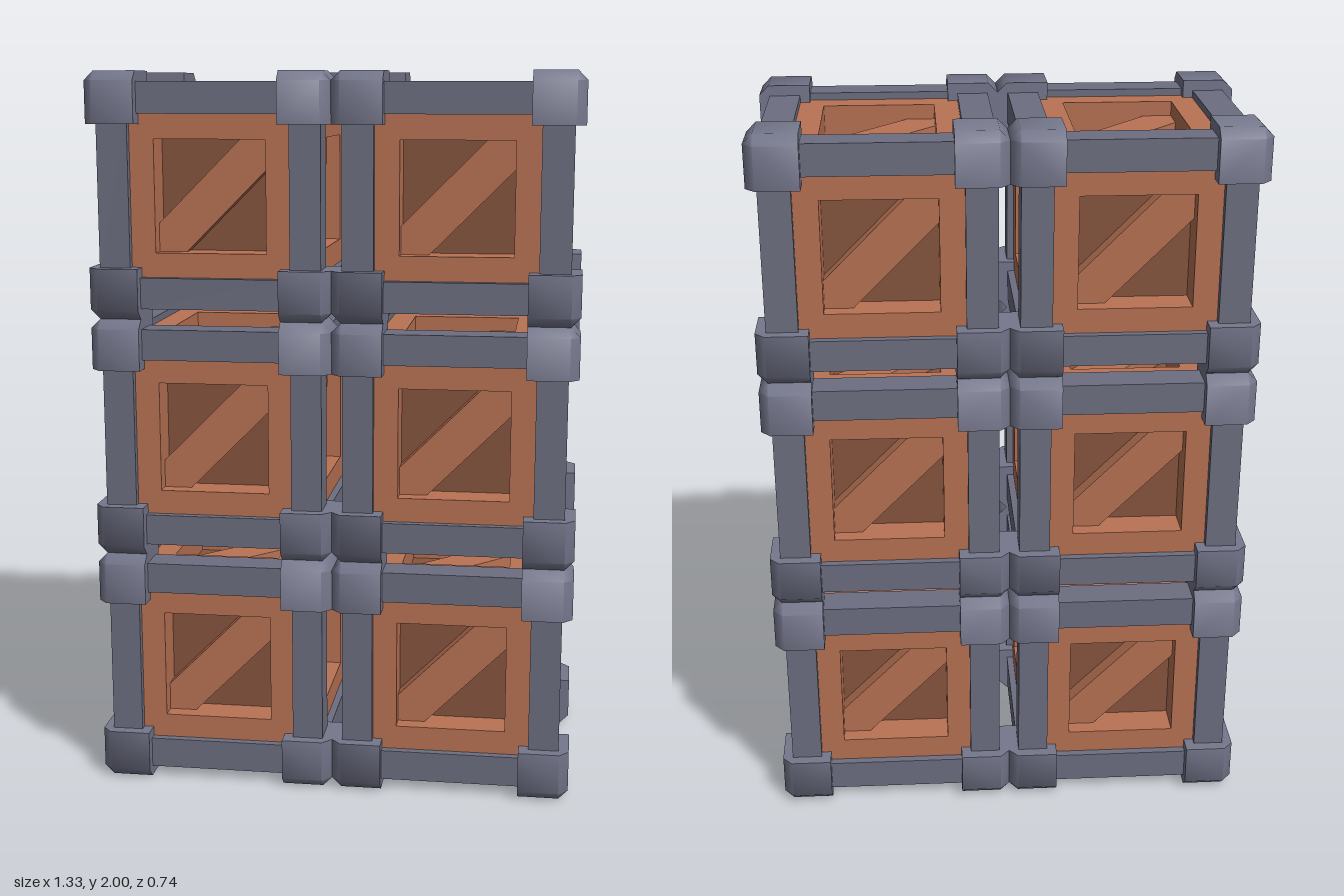
import * as THREE from 'three';
import { toCreasedNormals } from 'three/addons/utils/BufferGeometryUtils.js';
import { ConvexGeometry } from 'three/addons/geometries/ConvexGeometry.js';

const HALF = 1 / 3;        // half size of one crate, over the corner caps
const CAP_IN = 0.193;      // inner edge of the corner caps
const BAR_OUT = 0.305;     // outer face of the edge bars
const BAR_IN = 0.22;       // inner face of the edge bars
const FRAME = 0.285;       // outer face of the wooden frames
const OPEN = 0.153;        // half width of the frame opening
const PANEL = 0.2;         // face of the recessed panels
const PLANK = 0.245;       // face of the diagonal planks
const DEPTH = 1.117;       // crates are a little deeper than wide

const material = (name, color) => {
  const m = new THREE.MeshStandardMaterial({ color });
  m.name = name;
  return m;
};

function add(parent, name, geometry, mat) {
  const mesh = new THREE.Mesh(geometry, mat);
  mesh.name = name;
  parent.add(mesh);
  return mesh;
}

const square = (h, Type) => new Type([
  new THREE.Vector2(-h, -h), new THREE.Vector2(h, -h),
  new THREE.Vector2(h, h), new THREE.Vector2(-h, h),
]);

const extrude = (shape, from, to) =>
  new THREE.ExtrudeGeometry(shape, { depth: to - from, bevelEnabled: false }).translate(0, 0, from);

// Block whose three outer edges and outer corner are chamfered
function capGeometry(sx, sy, sz) {
  const k = HALF - 0.026;
  const points = [new THREE.Vector3(CAP_IN * sx, CAP_IN * sy, CAP_IN * sz)];
  for (const a of [CAP_IN, k]) for (const b of [CAP_IN, k]) {
    for (const [x, y, z] of [[HALF, a, b], [a, HALF, b], [a, b, HALF]]) {
      points.push(new THREE.Vector3(x * sx, y * sy, z * sz));
    }
  }
  return toCreasedNormals(new ConvexGeometry(points), 1.0);
}

export function createModel() {
  const steel = material('steel bars', 0x6d6f81);
  const capSteel = material('steel caps', 0x75778c);
  const wood = material('wood', 0xb97254);
  const darkWood = material('dark wood', 0x87553e);

  // Shared wooden parts for one face
  const frameShape = square(BAR_IN, THREE.Shape);
  frameShape.holes.push(square(OPEN, THREE.Path));
  const frameGeometry = extrude(frameShape, PANEL - 0.01, FRAME);
  const s = OPEN, t = OPEN - 0.077;
  const plankShape = new THREE.Shape(
    [[-s, -s], [-t, -s], [s, t], [s, s], [t, s], [-s, -t]].map(p => new THREE.Vector2(...p)));
  const plankGeometry = extrude(plankShape, PANEL - 0.01, PLANK);

  const thick = BAR_OUT - BAR_IN, mid = (BAR_OUT + BAR_IN) / 2;
  const barGeometry = new THREE.BoxGeometry(thick, thick, CAP_IN * 2 + 0.04);
  const panelGeometry = new THREE.BoxGeometry(PANEL * 2, PANEL * 2, PANEL * 2);
  const signs = [-1, 1];
  const caps = [];
  for (const x of signs) for (const y of signs) for (const z of signs) caps.push(capGeometry(x, y, z));

  // Rotation of each face: tilt about x, turn about y, roll about z
  const q = Math.PI / 2;
  const faces = [
    ['front', 0, 0, 0], ['left', 0, q, 0], ['back', 0, 2 * q, 0],
    ['right', 0, -q, 0], ['top', -q, 0, 0], ['bottom', q, 0, q],
  ];

  function makeCrate() {
    const crate = new THREE.Group();
    add(crate, 'recessedPanels', panelGeometry, darkWood);

    for (const [name, rx, ry, rz] of faces) {
      const face = new THREE.Group();
      face.name = name + 'Face';
      face.rotation.set(rx, ry, rz);
      add(face, 'woodenFrame', frameGeometry, wood);
      add(face, 'diagonalPlank', plankGeometry, wood);
      crate.add(face);
    }

    // Four bars along each axis
    for (const a of signs) for (const b of signs) {
      add(crate, 'depthBar', barGeometry, steel).position.set(a * mid, b * mid, 0);
      const across = add(crate, 'acrossBar', barGeometry, steel);
      across.rotation.y = q;
      across.position.set(0, a * mid, b * mid);
      const upright = add(crate, 'uprightBar', barGeometry, steel);
      upright.rotation.x = q;
      upright.position.set(a * mid, 0, b * mid);
    }

    for (const cap of caps) add(crate, 'cornerCap', cap, capSteel);
    crate.scale.z = DEPTH;
    return crate;
  }

  // Stack two wide and three high
  const model = new THREE.Group();
  model.name = 'crateStack';
  for (let row = 0; row < 3; row++) {
    for (const side of signs) {
      const crate = makeCrate();
      crate.name = `crateRow${row + 1}${side > 0 ? 'Left' : 'Right'}`;
      crate.position.set(side * HALF, HALF * (2 * row + 1), 0);
      model.add(crate);
    }
  }
  return model;
}
